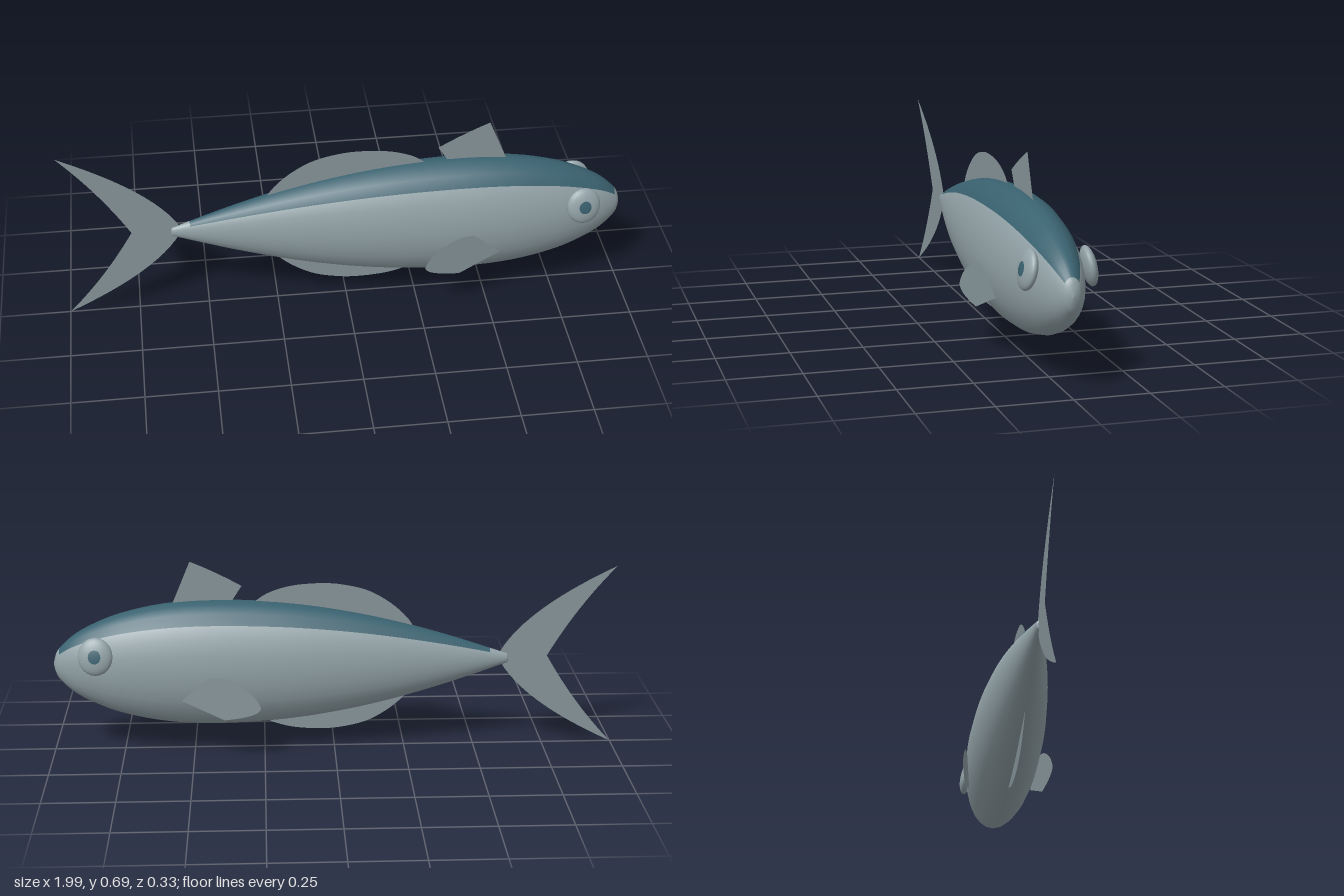
import * as THREE from 'three';

const silver = new THREE.MeshStandardMaterial({ color: 0x93a3a8 });
silver.name = 'silver';
const blue = new THREE.MeshStandardMaterial({ color: 0x3a6270 });
blue.name = 'deep blue';
const finGrey = new THREE.MeshStandardMaterial({ color: 0x87969a, side: THREE.DoubleSide });
finGrey.name = 'fin grey';

const CENTER_Y = 0.327;

function addMesh(parent, name, geometry, material) {
  const mesh = new THREE.Mesh(geometry, material);
  mesh.name = name;
  parent.add(mesh);
  return mesh;
}

// Spindle body: a lathe laid along x and flattened; the upper quarter is blue
function bodyGeometry() {
  const outline = new THREE.SplineCurve([
    [0.0001, -0.62], [0.015, -0.618], [0.026, -0.59], [0.09, -0.4], [0.147, -0.2], [0.19, 0],
    [0.217, 0.2], [0.2275, 0.42], [0.216, 0.6], [0.184, 0.75], [0.145, 0.85],
    [0.105, 0.92], [0.058, 0.97], [0.03, 0.985], [0.0001, 0.992],
  ].map(([r, x]) => new THREE.Vector2(r, x)));
  const points = outline.getPoints(56);
  points.forEach((p) => { p.x = Math.max(p.x, 0.0001); });
  const sides = 24;
  const geo = new THREE.LatheGeometry(points, sides);
  const index = Array.from(geo.index.array);
  const rows = points.length - 1;
  const silverFaces = [], blueFaces = [];
  for (let i = 0; i < sides; i++) {
    for (let j = 0; j < rows; j++) {
      const start = (i * rows + j) * 6;
      const x = (points[j].y + points[j + 1].y) / 2;
      const isBack = i >= 15 && i < 21 && x > -0.55 && x < 0.967;
      (isBack ? blueFaces : silverFaces).push(...index.slice(start, start + 6));
    }
  }
  geo.setIndex([...silverFaces, ...blueFaces]);
  geo.addGroup(0, silverFaces.length, 0);
  geo.addGroup(silverFaces.length, blueFaces.length, 1);
  geo.rotateZ(-Math.PI / 2);
  geo.scale(1, 1, 0.577);
  geo.translate(0, CENTER_Y, 0);
  return geo;
}

// Forked tail
function tailGeometry() {
  const s = new THREE.Shape();
  s.moveTo(-0.59, 0.35);
  s.quadraticCurveTo(-0.68, 0.51, -1, 0.663);
  s.quadraticCurveTo(-0.865, 0.52, -0.76, 0.334);
  s.quadraticCurveTo(-0.865, 0.148, -1, 0.005);
  s.quadraticCurveTo(-0.68, 0.158, -0.59, 0.318);
  s.closePath();
  return new THREE.ShapeGeometry(s, 12);
}

// Long rounded fin, used above and below
function roundedFinGeometry() {
  const s = new THREE.Shape();
  s.moveTo(-0.29, 0.43);
  s.splineThru([[-0.26, 0.48], [-0.2, 0.536], [-0.12, 0.583], [-0.03, 0.606], [0.05, 0.612],
    [0.15, 0.604], [0.23, 0.58], [0.28, 0.548]].map(([x, y]) => new THREE.Vector2(x, y)));
  s.lineTo(0.25, 0.5);
  s.lineTo(0, 0.45);
  s.lineTo(-0.2, 0.41);
  s.closePath();
  return new THREE.ShapeGeometry(s, 4);
}

function dorsalFinGeometry() {
  const s = new THREE.Shape();
  s.moveTo(0.38, 0.52);
  s.lineTo(0.325, 0.605);
  s.quadraticCurveTo(0.41, 0.655, 0.505, 0.695);
  s.lineTo(0.57, 0.54);
  s.closePath();
  return new THREE.ShapeGeometry(s);
}

// Side fin: a flat leaf swung outwards towards its rear tip
function sideFinGeometry() {
  const s = new THREE.Shape();
  s.moveTo(0.54, 0.222);
  s.lineTo(0.44, 0.311);
  s.quadraticCurveTo(0.4, 0.318, 0.36, 0.3);
  s.quadraticCurveTo(0.28, 0.26, 0.262, 0.208);
  s.quadraticCurveTo(0.265, 0.175, 0.39, 0.157);
  s.closePath();
  const geo = new THREE.ShapeGeometry(s, 8);
  const p = geo.attributes.position;
  for (let i = 0; i < p.count; i++) p.setZ(i, 0.117 + 0.175 * (0.535 - p.getX(i)));
  geo.computeVertexNormals();
  return geo;
}

// Part of a flattened eye ball, its pole facing sideways
function eyePart(start, length) {
  const geo = new THREE.SphereGeometry(1, 24, 12, 0, Math.PI * 2, start, length);
  geo.rotateX(Math.PI / 2);
  geo.scale(0.061, 0.067, 0.024);
  return geo;
}

export function createModel() {
  const fish = new THREE.Group();
  fish.name = 'fish';

  addMesh(fish, 'body', bodyGeometry(), [silver, blue]);
  addMesh(fish, 'tailFin', tailGeometry(), finGrey);
  addMesh(fish, 'frontDorsalFin', dorsalFinGeometry(), finGrey);
  addMesh(fish, 'rearDorsalFin', roundedFinGeometry(), finGrey);
  const analFin = roundedFinGeometry();
  analFin.rotateX(Math.PI);
  analFin.translate(0, 0.681, 0);
  addMesh(fish, 'analFin', analFin, finGrey);

  // Eyes and side fins, mirrored across the body
  for (const side of [1, -1]) {
    const half = new THREE.Group();
    half.name = side > 0 ? 'frontSide' : 'backSide';
    half.scale.z = side;
    addMesh(half, 'sideFin', sideFinGeometry(), finGrey);

    const eye = new THREE.Group();
    eye.name = 'eye';
    eye.position.set(0.836, 0.384, 0.1);
    eye.rotation.set(-0.2, 0.08, 0);
    addMesh(eye, 'eyeball', eyePart(0.37, Math.PI - 0.37), silver);
    addMesh(eye, 'pupil', eyePart(0, 0.37), blue);
    half.add(eye);
    fish.add(half);
  }
  return fish;
}
